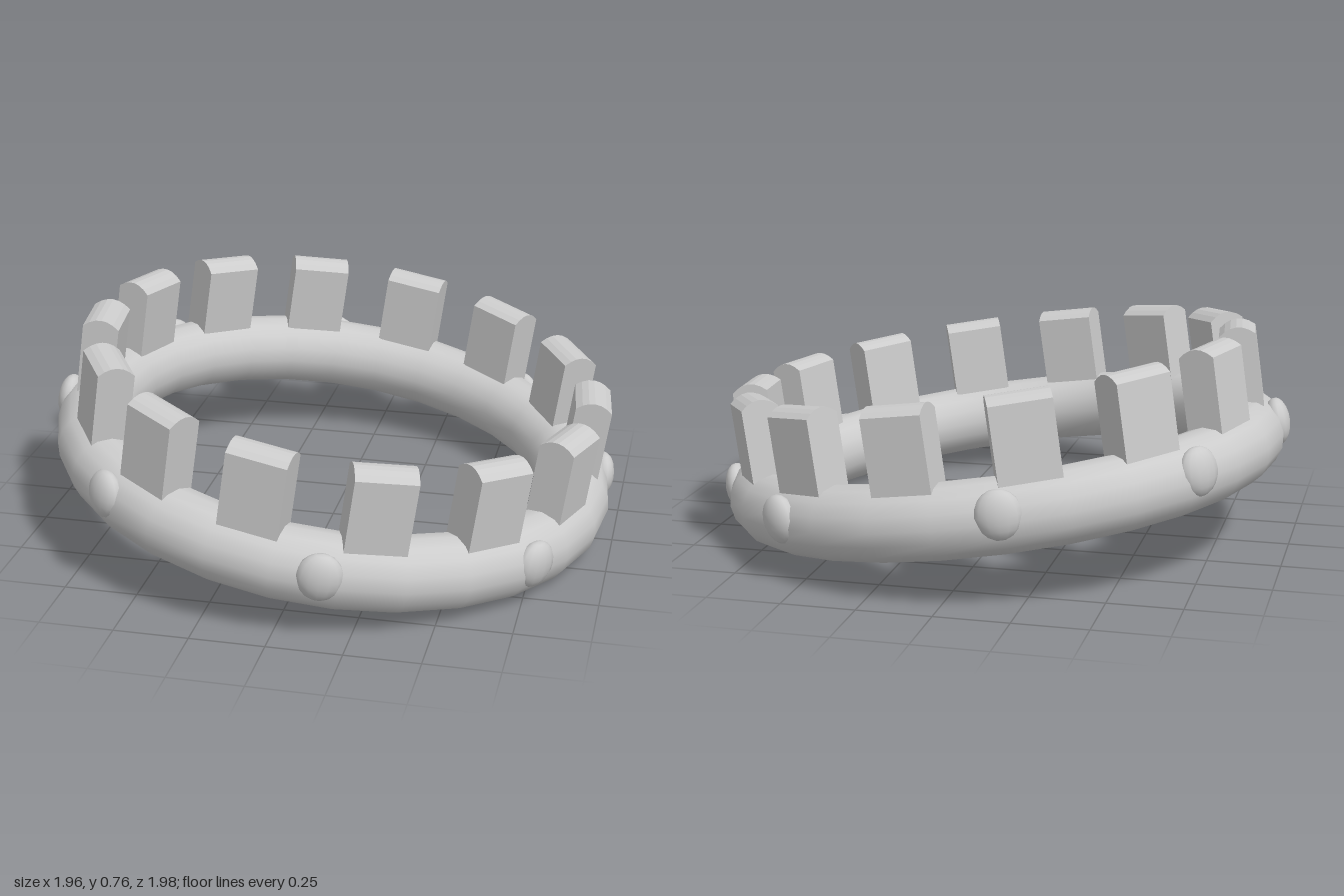
import * as THREE from 'three';

const RING_R = 0.86, TUBE_R = 0.125;
const material = new THREE.MeshStandardMaterial({ color: 0xcccccc });

// Adds a mesh to the parent, turned about the y axis to an angle (degrees, from +x towards +z)
function addAround(parent, name, geometry, degrees) {
  const mesh = new THREE.Mesh(geometry, material);
  mesh.name = name;
  mesh.rotation.y = -THREE.MathUtils.degToRad(degrees);
  parent.add(mesh);
}

// Upright block with a gently arched top, already pushed out to the ring radius
function blockGeometry() {
  const half = 0.0625, width = 0.205, base = 0.05, shoulder = 0.355;
  const profile = new THREE.Shape();
  profile.moveTo(-half, base);
  profile.lineTo(half, base);
  profile.lineTo(half, shoulder);
  profile.quadraticCurveTo(0, shoulder + 0.055, -half, shoulder);
  profile.closePath();
  const geometry = new THREE.ExtrudeGeometry(profile, { depth: width, bevelEnabled: false, curveSegments: 6 });
  return geometry.translate(RING_R, 0, -width / 2);
}

export function createModel() {
  const model = new THREE.Group();
  model.name = 'crown';

  // Whole crown leans down towards +x and slightly forward
  const crown = new THREE.Group();
  crown.name = 'tiltedCrown';
  crown.position.set(0.004, 0.253, -0.013);
  crown.rotation.set(0.024, 0, -0.147);
  model.add(crown);

  // Round band
  const band = new THREE.TorusGeometry(RING_R, TUBE_R, 16, 28).rotateX(Math.PI / 2);
  addAround(crown, 'band', band, 0);

  // Ring of upright blocks
  const block = blockGeometry();
  const blocks = 14;
  for (let i = 0; i < blocks; i++) addAround(crown, 'uprightBlock', block, -6.7 + (i * 360) / blocks);

  // Flattened studs, a little unevenly spaced around the outside
  const stud = new THREE.SphereGeometry(1, 14, 10).scale(0.045, 0.082, 0.077).translate(0.96, 0.025, 0);
  for (const angle of [-13.2, 34.9, 80.6, 129.7, 173.7, 216.1, 257.4, 306.4]) addAround(crown, 'stud', stud, angle);

  return model;
}
